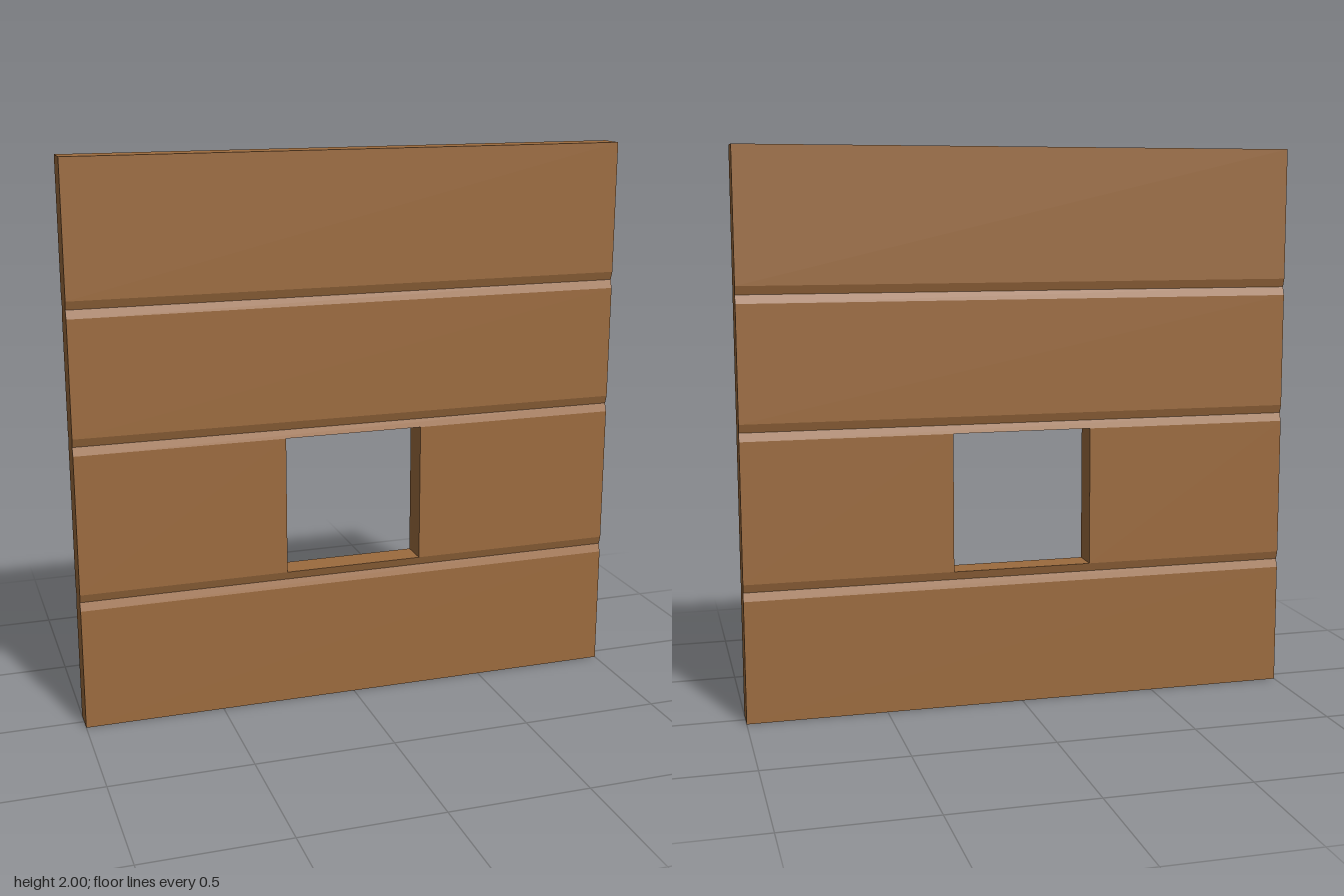
import * as THREE from 'three';

const HALF_W = 1, HALF_D = 0.051, GROOVE = 0.01, GROOVE_H = 0.03;
const HOLE = { x: 0.253, y0: 0.5, y1: 1.0 };

// Outline of the wall's side, bottom to top: [height, half depth], with V grooves between boards
function wallRows() {
  const rows = [[0, HALF_D]];
  for (const y of [0.47, 1.03, 1.5]) {
    rows.push([y - GROOVE_H, HALF_D], [y, HALF_D - GROOVE], [y + GROOVE_H, HALF_D]);
  }
  rows.push([2, HALF_D]);
  return rows;
}

function wallGeometry() {
  const pos = [];
  // Corners run anticlockwise seen from outside
  const quad = (a, b, c, d) => pos.push(...a, ...b, ...c, ...a, ...c, ...d);
  const flat = (x, y, d, up) => up
    ? quad([-x, y, d], [x, y, d], [x, y, -d], [-x, y, -d])
    : quad([-x, y, -d], [x, y, -d], [x, y, d], [-x, y, d]);

  const rows = wallRows();
  for (let i = 0; i < rows.length - 1; i++) {
    const [y0, d0] = rows[i], [y1, d1] = rows[i + 1];
    const mid = (y0 + y1) / 2;
    const open = mid > HOLE.y0 && mid < HOLE.y1;
    const spans = open ? [[-HALF_W, -HOLE.x], [HOLE.x, HALF_W]] : [[-HALF_W, HALF_W]];
    for (const [l, r] of spans) {
      quad([l, y0, d0], [r, y0, d0], [r, y1, d1], [l, y1, d1]); // front
      quad([r, y0, -d0], [l, y0, -d0], [l, y1, -d1], [r, y1, -d1]); // back
      quad([r, y0, d0], [r, y0, -d0], [r, y1, -d1], [r, y1, d1]); // +x end
      quad([l, y0, -d0], [l, y0, d0], [l, y1, d1], [l, y1, -d1]); // -x end
    }
  }
  flat(HALF_W, 0, HALF_D, false); // underside
  flat(HALF_W, 2, HALF_D, true); // top edge
  flat(HOLE.x, HOLE.y0, HALF_D, true); // window sill
  flat(HOLE.x, HOLE.y1, HALF_D, false); // window lintel

  const geo = new THREE.BufferGeometry();
  geo.setAttribute('position', new THREE.Float32BufferAttribute(pos, 3));
  geo.computeVertexNormals();
  return geo;
}

export function createModel() {
  const group = new THREE.Group();
  group.name = 'plankWallWithWindow';
  const wood = new THREE.MeshStandardMaterial({ color: 0x9c6b3e });
  wood.name = 'wood';
  const wall = new THREE.Mesh(wallGeometry(), wood);
  wall.name = 'plankWall';
  group.add(wall);
  return group;
}
